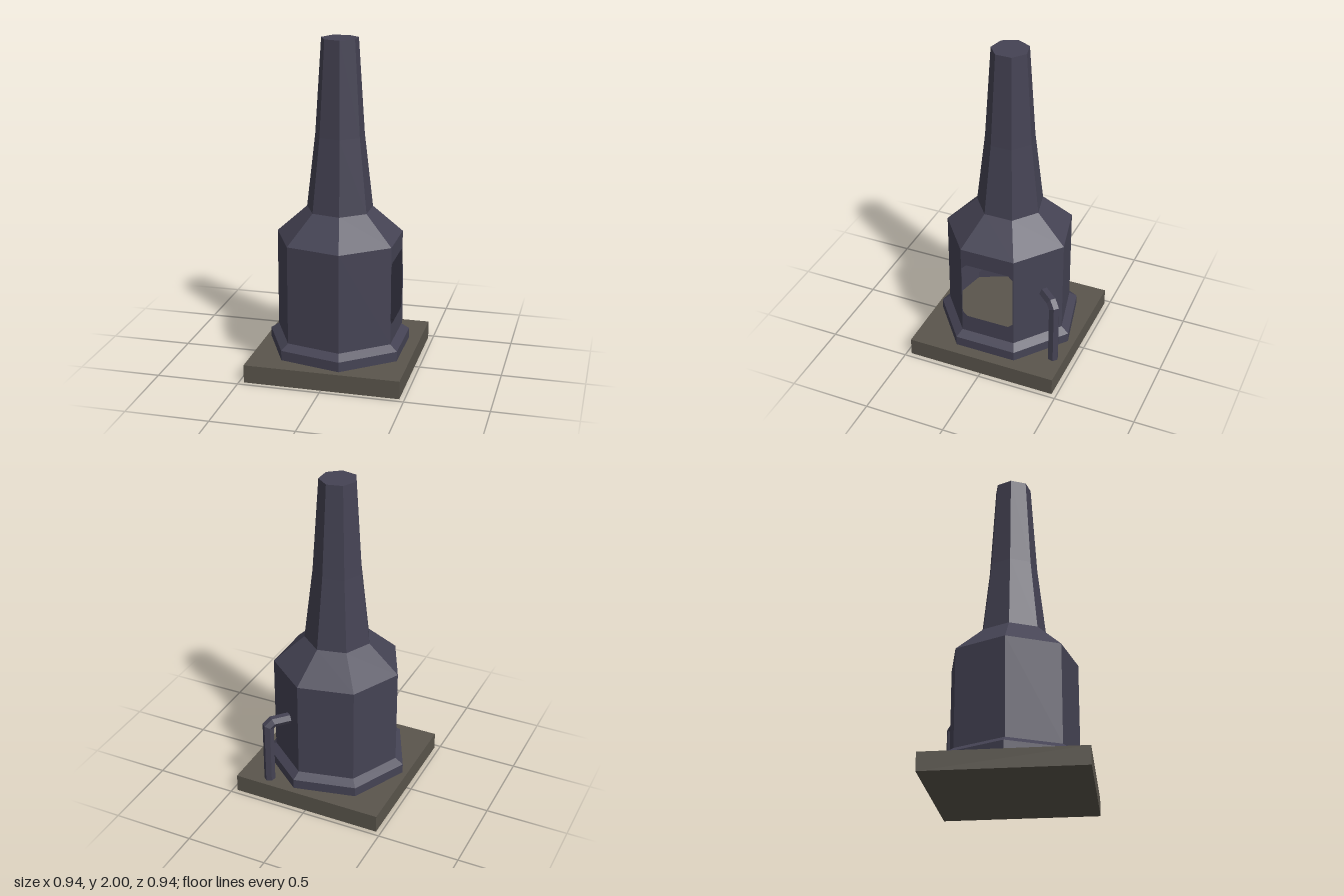
import * as THREE from 'three';

const iron = new THREE.MeshStandardMaterial({ name: 'darkIron', color: 0x454354, flatShading: true, side: THREE.DoubleSide });
const stone = new THREE.MeshStandardMaterial({ name: 'brownStone', color: 0x5a554c, flatShading: true });

const SIDES = 7;
const STEP = (Math.PI * 2) / SIDES;

function add(parent, name, geometry, material, x = 0, y = 0, z = 0) {
  const mesh = new THREE.Mesh(geometry, material);
  mesh.name = name;
  mesh.position.set(x, y, z);
  parent.add(mesh);
  return mesh;
}

// Seven-sided shell from [radius, height] pairs; one corner points to -x
function shell(profile, faces = SIDES) {
  const points = profile.map(([r, y]) => new THREE.Vector2(r, y));
  const start = faces === SIDES ? -Math.PI / 2 : Math.PI / 2 + STEP / 2;
  return new THREE.LatheGeometry(points, faces, start, STEP * faces);
}

// Flat wall panel with a cut-corner opening
function doorPanel(radius, bottom, top) {
  const half = radius * Math.sin(STEP / 2);
  const shape = new THREE.Shape();
  shape.moveTo(-half, bottom);
  shape.lineTo(half, bottom);
  shape.lineTo(half, top);
  shape.lineTo(-half, top);
  shape.closePath();
  const w = half - 0.004, b = 0.32, t = 0.705, c = 0.03;
  const outline = [[-w + c, b], [-w, b + c], [-w, t - c], [-w + c, t], [w - c, t], [w, t - c], [w, b + c], [w - c, b]];
  shape.holes.push(new THREE.Path(outline.map(([x, y]) => new THREE.Vector2(x, y))));
  return new THREE.ShapeGeometry(shape).rotateY(Math.PI / 2).translate(radius * Math.cos(STEP / 2), 0, 0);
}

// Mitred pipe in the xy plane
function bentPipe(path, radius, sides) {
  const positions = [], index = [];
  const points = path.map(([x, y]) => new THREE.Vector2(x, y));
  points.forEach((p, i) => {
    const before = p.clone().sub(points[Math.max(i - 1, 0)]).normalize();
    const after = points[Math.min(i + 1, points.length - 1)].clone().sub(p).normalize();
    const tangent = before.clone().add(after).normalize();
    const leg = before.lengthSq() ? before : after;
    const reach = radius / tangent.dot(leg);
    for (let k = 0; k < sides; k++) {
      const a = ((k + 0.5) / sides) * Math.PI * 2;
      positions.push(
        p.x + tangent.y * reach * Math.cos(a),
        p.y - tangent.x * reach * Math.cos(a),
        radius * Math.sin(a));
      if (i) {
        const n = (k + 1) % sides, lo = (i - 1) * sides, hi = i * sides;
        index.push(lo + k, hi + k, hi + n, lo + k, hi + n, lo + n);
      }
    }
  });
  // End caps
  const last = (points.length - 1) * sides;
  for (let k = 1; k < sides - 1; k++) {
    index.push(0, k, k + 1, last, last + k + 1, last + k);
  }
  const geometry = new THREE.BufferGeometry();
  geometry.setAttribute('position', new THREE.Float32BufferAttribute(positions, 3));
  geometry.setIndex(index);
  geometry.computeVertexNormals();
  return geometry;
}

export function createModel() {
  const model = new THREE.Group();
  model.name = 'furnace';

  // Square base
  add(model, 'baseSlab', new THREE.BoxGeometry(0.94, 0.11, 0.94), stone, 0, 0.055, 0);

  // Furnace body with an open front of the fire chamber on +x
  add(model, 'plinth', shell([[0.44, 0.11], [0.44, 0.17], [0.39, 0.205]]), iron);
  add(model, 'chamberWall', shell([[0.39, 0.205], [0.39, 0.81]], SIDES - 1), iron);
  add(model, 'doorPanel', doorPanel(0.39, 0.205, 0.81), iron);
  add(model, 'chamberRoof', shell([[0.39, 0.81], [0.203, 0.98]]), iron);
  add(model, 'chimney', shell([[0.203, 0.98], [0.15, 1.43], [0.112, 2], [0, 2]]), iron);

  // Hanging fitting inside the chamber
  const hanger = new THREE.Group();
  hanger.name = 'hanger';
  model.add(hanger);
  add(hanger, 'hangerRod', new THREE.CylinderGeometry(0.015, 0.015, 0.24, 6), iron, 0, 0.86, 0);
  add(hanger, 'hangerCone', new THREE.CylinderGeometry(0.075, 0.02, 0.075, 7), iron, 0, 0.7025, 0);
  add(hanger, 'hangerKnob', new THREE.IcosahedronGeometry(0.045, 0), stone, 0, 0.615, 0);

  // Side pipe rising from the slab and turning into the wall
  const pipe = add(model, 'sidePipe',
    bentPipe([[0, 0.11], [0, 0.495], [-0.03, 0.52], [-0.2, 0.52]], 0.034, 6),
    iron, 0.277, 0, -0.4);
  pipe.rotation.y = Math.atan2(0.745, 0.67);

  return model;
}
